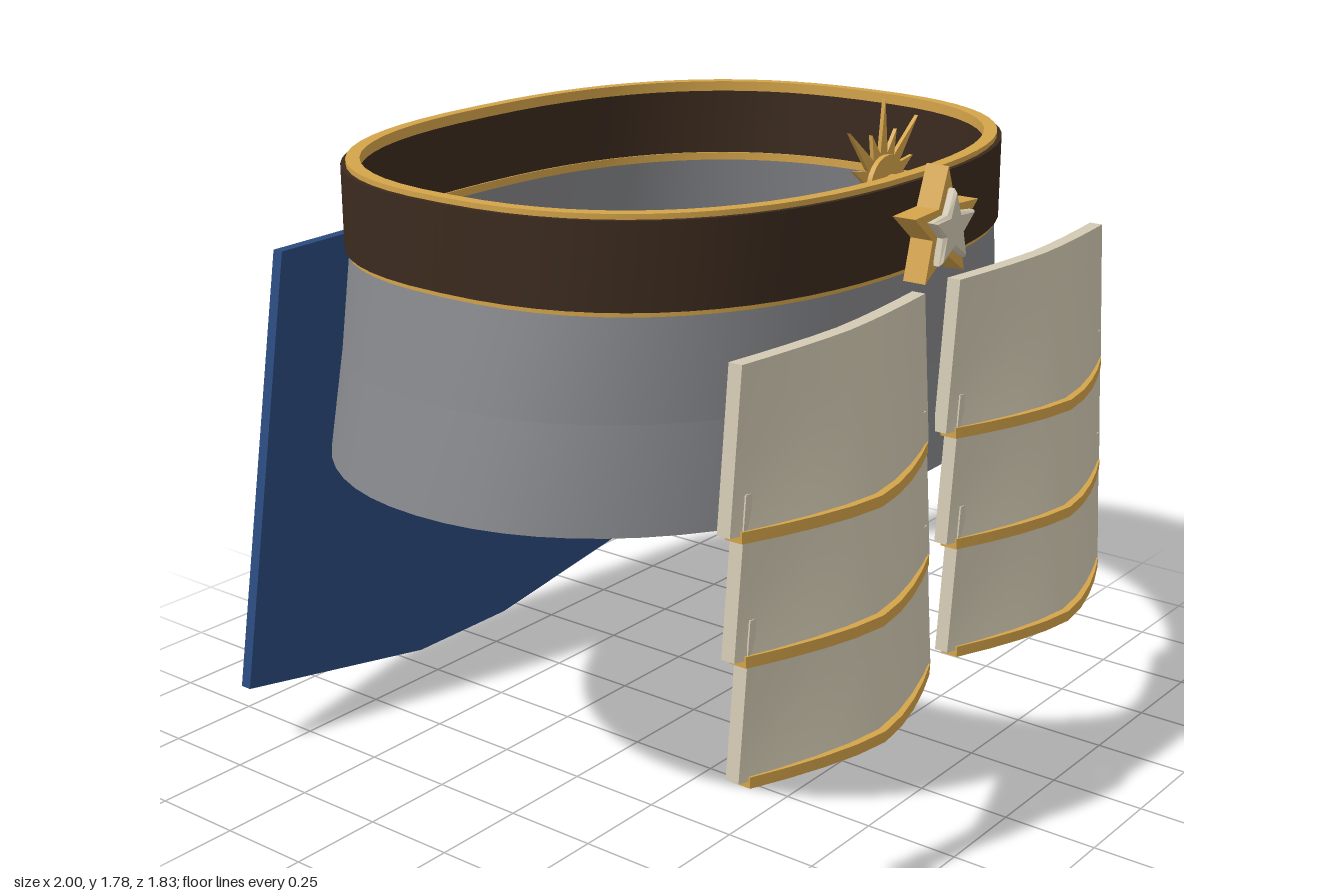
import * as THREE from 'three';

const mat = (color) => new THREE.MeshStandardMaterial({ color });

function add(parent, name, geometry, material) {
  const mesh = new THREE.Mesh(geometry, material);
  mesh.name = name;
  parent.add(mesh);
  return mesh;
}

// Closed loop around the waist. Profile points: [rx, rz, y, centreZ, exponent],
// running up the outside and down the inside; every band keeps its own edges.
function waistLoop(profile, n = 64) {
  const pos = [], idx = [];
  const power = (v, e) => Math.sign(v) * Math.abs(v) ** (2 / e);
  profile.forEach((p, i) => {
    const base = pos.length / 3;
    for (const [rx, rz, y, cz, e] of [p, profile[(i + 1) % profile.length]]) {
      for (let k = 0; k < n; k++) {
        const a = (k / n) * Math.PI * 2;
        pos.push(rx * power(Math.cos(a), e), y, cz + rz * power(Math.sin(a), e));
      }
    }
    for (let k = 0; k < n; k++) {
      const A = base + k, B = base + (k + 1) % n;
      idx.push(A, A + n, B, B, A + n, B + n);
    }
  });
  const g = new THREE.BufferGeometry();
  g.setAttribute('position', new THREE.Float32BufferAttribute(pos, 3));
  g.setIndex(idx);
  g.computeVertexNormals();
  return g;
}

// Band of rectangular section around the waist
const band = (rx, rz, t, y0, y1, cz, e) => waistLoop([
  [rx, rz, y0, cz, e], [rx, rz, y1, cz, e],
  [rx - t, rz - t, y1, cz, e], [rx - t, rz - t, y0, cz, e],
]);

// Bent slab: fn(u, v, w) maps u, v in -1..1 / 0..1 and w in 0..1 to a point
function slab(nu, nv, fn) {
  const g = new THREE.BoxGeometry(2, 1, 1, nu, nv, 1);
  const p = g.attributes.position;
  for (let i = 0; i < p.count; i++) {
    p.setXYZ(i, ...fn(p.getX(i), p.getY(i) + 0.5, p.getZ(i) + 0.5));
  }
  g.computeVertexNormals();
  return g;
}

// Star outline; radii repeat around the points
function starShape(count, radii) {
  const pts = [];
  for (let i = 0; i < count; i++) {
    const a = Math.PI / 2 + (i / count) * Math.PI * 2, r = radii[i % radii.length];
    pts.push(new THREE.Vector2(r * Math.cos(a), r * Math.sin(a)));
  }
  return new THREE.Shape(pts);
}

const mix = THREE.MathUtils.lerp;

export function createModel() {
  const model = new THREE.Group();
  const gold = mat(0xd4a44a), leather = mat(0x3b2a1e), cream = mat(0xd3cab3);
  const blue = mat(0x2a4a7e), grey = mat(0x86878b);

  // Flared skirt under the belt
  const t = 0.015;
  add(model, 'skirt', waistLoop([
    [1, 0.79, 0.88, -0.052, 2.1],
    [0.94, 0.755, 1.14, -0.047, 2.2],
    [0.885, 0.72, 1.405, -0.04, 2.4],
    [0.885 - t, 0.72 - t, 1.405, -0.04, 2.4],
    [0.94 - t, 0.755 - t, 1.14, -0.047, 2.2],
    [1 - t, 0.79 - t, 0.88, -0.052, 2.1],
  ]), grey);

  // Belt and its gold edging
  add(model, 'belt', band(0.9, 0.73, 0.035, 1.4, 1.61, -0.04, 2.4), leather);
  add(model, 'beltTopTrim', band(0.888, 0.718, 0.033, 1.595, 1.623, -0.04, 2.4), gold);
  add(model, 'beltBottomTrim', band(0.893, 0.723, 0.033, 1.388, 1.41, -0.04, 2.4), gold);

  // Layered hip plates, three to a side, each with a gold lower lip
  const bulge = (u, depth) => depth * (1 - Math.abs(u) ** 1.5);
  for (const side of [1, -1]) {
    const hip = new THREE.Group();
    hip.name = side > 0 ? 'leftHipPlates' : 'rightHipPlates';
    hip.position.x = side * 0.445;
    model.add(hip);
    for (let i = 0; i < 3; i++) {
      const top = 1.355 - i * 0.292, z0 = 0.722 + i * 0.014;
      add(hip, 'hipPlate' + (i + 1), slab(8, 4, (u, v, w) => [
        u * mix(0.405, 0.365, v),
        top - 0.385 * (1 - v),
        z0 + bulge(u, mix(0.112, 0.032, v)) + w * 0.036,
      ]), cream);
      add(hip, 'hipPlateTrim' + (i + 1), slab(8, 1, (u, v, w) => [
        u * 0.38,
        top - 0.402 + v * 0.028,
        z0 + 0.004 + bulge(u, 0.115) + w * 0.046,
      ]), gold);
    }
  }

  // Rear cloth panel: flat middle, sides folded forward, pointed hem
  const cols = [-1, -0.6, -0.2, 0.2, 0.6, 1];
  add(model, 'rearPanel', slab(5, 6, (u, v, w) => {
    const c = cols[Math.round((u + 1) * 2.5)];
    const fold = Math.max(0, (Math.abs(c) - 0.2) / 0.8);
    return [
      c * mix(0.905, 0.7, v),
      mix(mix(0.005, 0.175, fold), 1.34, v),
      mix(mix(-0.885, -0.838, v), -0.803, fold) - (1 - w) * 0.032,
    ];
  }), blue);

  // Star buckle
  const buckle = new THREE.Group();
  buckle.name = 'buckle';
  buckle.position.set(0, 1.5, 0.7);
  model.add(buckle);
  add(buckle, 'buckleStar', new THREE.ExtrudeGeometry(starShape(10, [0.15, 0.064]), {
    depth: 0.062, bevelEnabled: false,
  }), gold);
  add(buckle, 'buckleInlay', new THREE.ExtrudeGeometry(starShape(10, [0.088, 0.038]), {
    depth: 0.014, bevelThickness: 0.008, bevelSize: 0.008, bevelSegments: 1,
  }), cream).position.z = 0.066;

  // Sunburst ornament inside the front of the belt
  const sun = new THREE.Group();
  sun.name = 'sunburst';
  sun.position.set(0, 1.58, 0.57);
  model.add(sun);
  add(sun, 'sunRays', new THREE.ExtrudeGeometry(starShape(32, [0.21, 0.08, 0.14, 0.08]), {
    depth: 0.01, bevelEnabled: false,
  }), gold);
  const disc = add(sun, 'sunDisc', new THREE.CylinderGeometry(0.075, 0.075, 0.03, 24), gold);
  disc.rotation.x = Math.PI / 2;
  disc.position.z = 0.008;
  const knob = add(sun, 'sunKnob', new THREE.SphereGeometry(0.03, 16, 10), gold);
  knob.scale.z = 0.7;
  knob.position.z = 0.036;

  return model;
}
